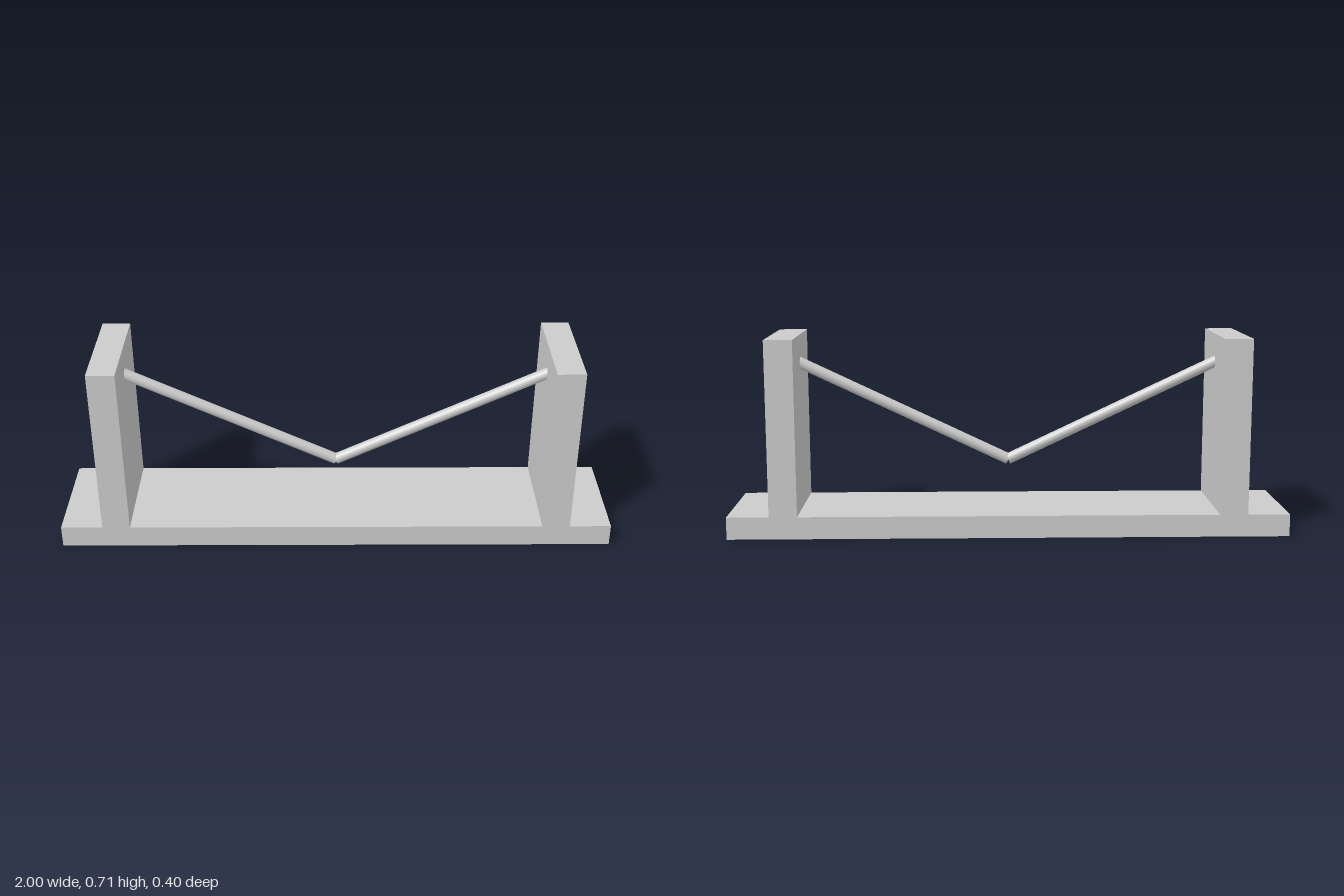
import * as THREE from 'three';

export function createModel() {
  const group = new THREE.Group();
  const material = new THREE.MeshStandardMaterial({ color: 0xcccccc });

  const add = (name, geometry, x, y) => {
    const mesh = new THREE.Mesh(geometry, material);
    mesh.name = name;
    mesh.position.set(x, y, 0);
    group.add(mesh);
    return mesh;
  };

  // Flat base slab
  add('base', new THREE.BoxGeometry(2, 0.08, 0.4), 0, 0.04);

  for (const [side, s] of [['left', 1], ['right', -1]]) {
    // Upright wall standing on the base
    add(side + 'Wall', new THREE.BoxGeometry(0.1, 0.627, 0.4), s * 0.8, 0.3935);

    // Sloping rod from the middle up into the wall
    const low = new THREE.Vector2(0, 0.248);
    const high = new THREE.Vector2(0.76, 0.609);
    const run = high.clone().sub(low);
    const rod = add(side + 'Rod', new THREE.CylinderGeometry(0.02, 0.02, run.length(), 32),
      s * (low.x + high.x) / 2, (low.y + high.y) / 2);
    rod.rotation.z = -s * Math.atan2(run.x, run.y);
  }
  return group;
}
